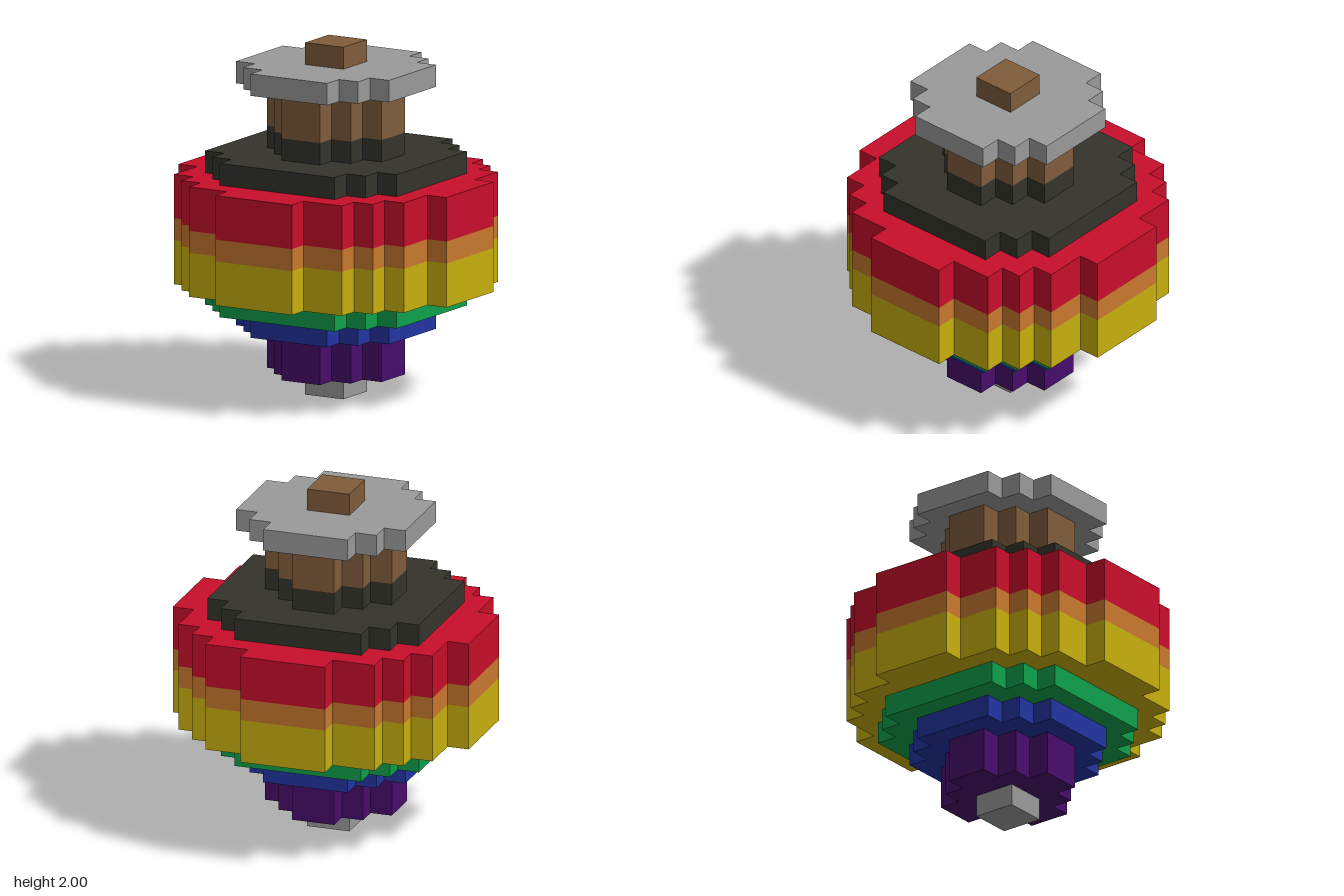
import * as THREE from 'three';

const U = 0.125; // one block

const paint = (name, color) => {
  const m = new THREE.MeshStandardMaterial({ color });
  m.name = name;
  return m;
};

// Stepped round outlines: [half width, half depth] in blocks, widest first
const PEG = [[1, 1]];
const SMALL = [[3, 1], [2, 2], [1, 3]];
const MEDIUM = [[4, 2], [3, 3], [2, 4]];
const LARGE = [[5, 3], [4, 4], [3, 5]];
const BODY = [[7, 2], [6, 4], [5, 5], [4, 6], [2, 7]];

// Closed staircase outline, mirrored from one quadrant to all four
function steppedShape(steps) {
  const quarter = [];
  steps.forEach(([x, y], i) => {
    if (i > 0) quarter.push([x, steps[i - 1][1]]);
    quarter.push([x, y]);
  });
  const flipped = [...quarter].reverse();
  const points = [
    ...quarter,
    ...flipped.map(([x, y]) => [-x, y]),
    ...quarter.map(([x, y]) => [-x, -y]),
    ...flipped.map(([x, y]) => [x, -y]),
  ];
  return new THREE.Shape(points.map(([x, y]) => new THREE.Vector2(x * U, y * U)));
}

export function createModel() {
  const grey = paint('grey metal', 0x9a9a9a);
  const brown = paint('brown wood', 0x805c3b);
  const dark = paint('dark charcoal', 0x34342c);
  const red = paint('red', 0xc80e2a);
  const orange = paint('orange', 0xc8782e);
  const yellow = paint('yellow', 0xc8b00e);
  const green = paint('green', 0x0fa04b);
  const blue = paint('blue', 0x2234a0);
  const purple = paint('purple', 0x470d6b);

  // Layers from the ground up: name, outline, height in blocks, material
  const layers = [
    ['tip', PEG, 1, grey],
    ['purpleBand', SMALL, 2, purple],
    ['blueBand', MEDIUM, 1, blue],
    ['greenBand', LARGE, 1, green],
    ['yellowBand', BODY, 2, yellow],
    ['orangeBand', BODY, 1, orange],
    ['redBand', BODY, 2, red],
    ['shoulder', LARGE, 1, dark],
    ['collar', SMALL, 1, dark],
    ['neck', SMALL, 2, brown],
    ['capDisc', MEDIUM, 1, grey],
    ['topPeg', PEG, 1, brown],
  ];

  const group = new THREE.Group();
  group.name = 'spinningTop';
  let y = 0;
  for (const [name, outline, height, material] of layers) {
    const geometry = new THREE.ExtrudeGeometry(steppedShape(outline), {
      depth: height * U,
      bevelEnabled: false,
    });
    geometry.rotateX(-Math.PI / 2);
    const mesh = new THREE.Mesh(geometry, material);
    mesh.name = name;
    mesh.position.y = y;
    group.add(mesh);
    y += height * U;
  }
  return group;
}
